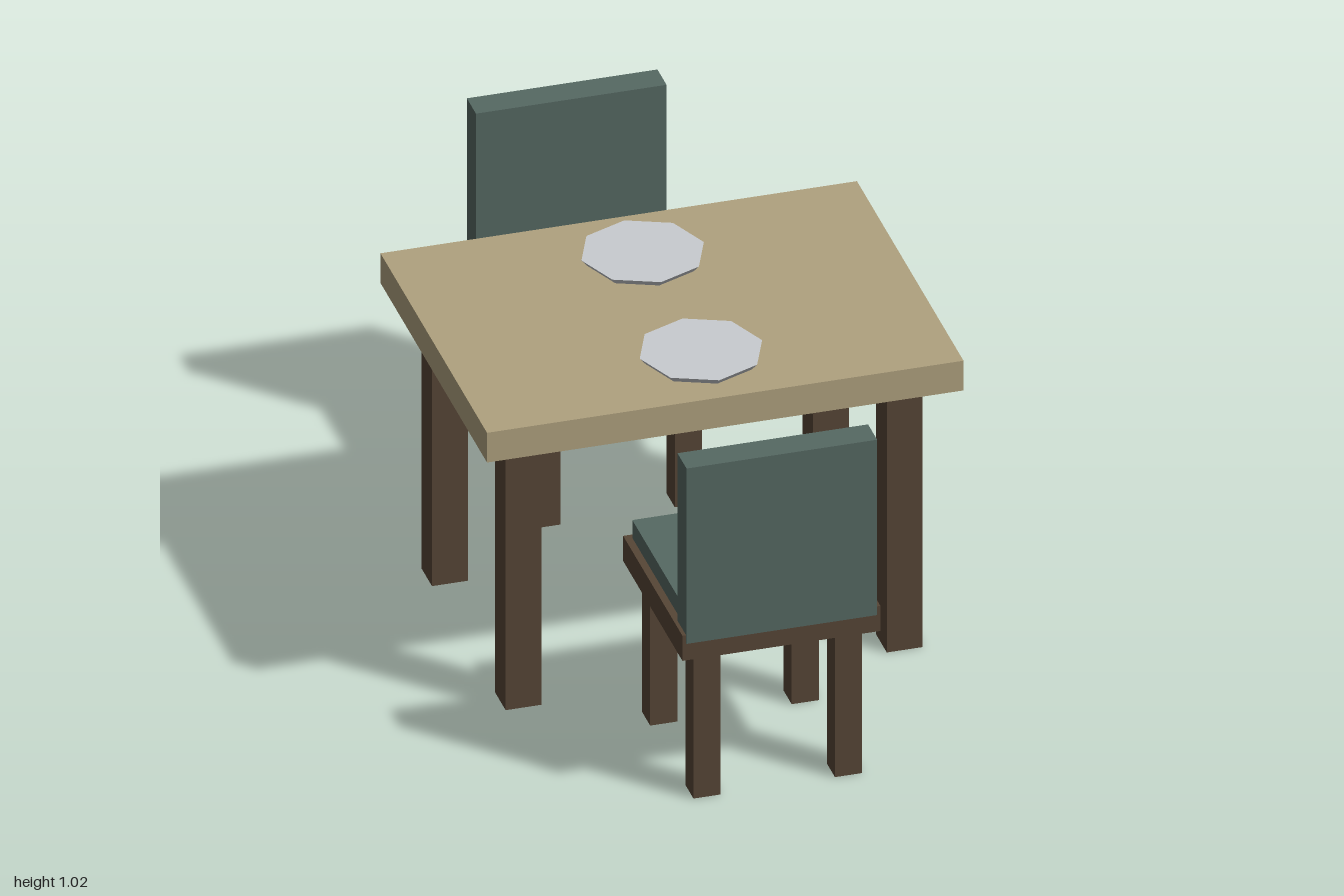
import * as THREE from 'three';

const material = (color) => new THREE.MeshStandardMaterial({ color, flatShading: true });
const tableWood = material(0xb0a27f);
const darkWood = material(0x574636);
const fabric = material(0x566963);
const ceramic = material(0xc9ccd0);

// Box given by its lower and upper limits on each axis
function box(name, mat, [x0, x1], [y0, y1], [z0, z1]) {
  const mesh = new THREE.Mesh(new THREE.BoxGeometry(x1 - x0, y1 - y0, z1 - z0), mat);
  mesh.position.set((x0 + x1) / 2, (y0 + y1) / 2, (z0 + z1) / 2);
  mesh.name = name;
  return mesh;
}

// Four square legs around a centre line at depth z
function addLegs(group, name, x, z, dz, size, height) {
  const h = size / 2;
  for (const sx of [-1, 1]) {
    for (const sz of [-1, 1]) {
      const cx = sx * x, cz = z + sz * dz;
      group.add(box(name, darkWood, [cx - h, cx + h], [0, height], [cz - h, cz + h]));
    }
  }
}

function createTable() {
  const table = new THREE.Group();
  table.name = 'table';
  table.add(box('tableTop', tableWood, [-0.65, 0.65], [0.82, 0.91], [-0.485, 0.485]));
  addLegs(table, 'tableLeg', 0.52, 0, 0.335, 0.098, 0.82);
  return table;
}

// Chair with its backrest at +z, facing the table
function createChair(name) {
  const chair = new THREE.Group();
  chair.name = name;
  chair.add(
    box('seatFrame', darkWood, [-0.27, 0.27], [0.442, 0.518], [0.456, 0.996]),
    box('seatCushion', fabric, [-0.25, 0.25], [0.51, 0.572], [0.473, 0.925]),
    box('backrest', fabric, [-0.26, 0.26], [0.494, 1.025], [0.917, 1])
  );
  addLegs(chair, 'chairLeg', 0.193, 0.729, 0.197, 0.074, 0.442);
  return chair;
}

export function createModel() {
  const model = new THREE.Group();
  model.name = 'diningSet';
  model.add(createTable());

  const frontChair = createChair('frontChair');
  const backChair = createChair('backChair');
  backChair.rotation.y = Math.PI;
  model.add(frontChair, backChair);

  // Octagonal plates, narrower at the foot
  for (const z of [-0.267, 0.263]) {
    const plate = new THREE.Mesh(new THREE.CylinderGeometry(0.167, 0.15, 0.02, 8), ceramic);
    plate.position.set(0, 0.919, z);
    plate.name = 'plate';
    model.add(plate);
  }
  return model;
}
